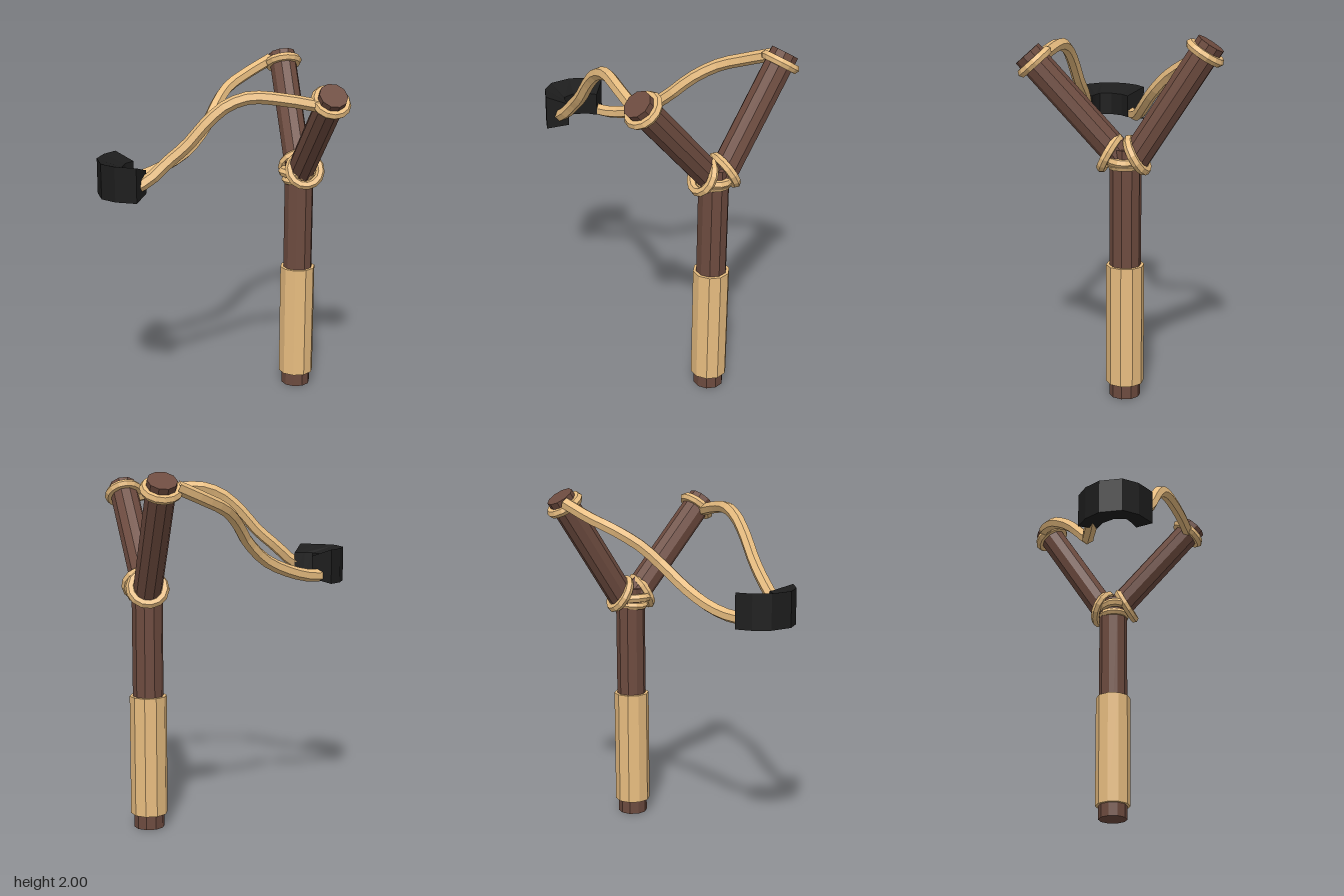
import * as THREE from 'three';

const V = (x, y, z) => new THREE.Vector3(x, y, z);
const UP = V(0, 1, 0);
const mat = (color) => new THREE.MeshStandardMaterial({ color, flatShading: true });

export function createModel() {
  const group = new THREE.Group();
  const wood = mat(0x6d4b3f), cord = mat(0xe8bd80), leather = mat(0x1d1d1d);

  const add = (name, geometry, material) => {
    const mesh = new THREE.Mesh(geometry, material);
    mesh.name = name;
    group.add(mesh);
    return mesh;
  };

  // Cylinder running from a to b
  const rod = (name, a, b, r, material, sides = 10) => {
    const dir = b.clone().sub(a);
    const mesh = add(name, new THREE.CylinderGeometry(r, r, dir.length(), sides), material);
    mesh.position.copy(a).addScaledVector(dir, 0.5);
    mesh.quaternion.setFromUnitVectors(UP, dir.normalize());
    return mesh;
  };

  // Cord loop whose hole points along axis
  const ring = (name, center, axis, R, tube = 0.026, sx = 1, sz = 1) => {
    const geometry = new THREE.TorusGeometry(R, tube, 6, 14).rotateX(Math.PI / 2).scale(sx, 1, sz);
    const mesh = add(name, geometry, cord);
    mesh.position.copy(center);
    mesh.quaternion.setFromUnitVectors(UP, axis.clone().normalize());
    return mesh;
  };

  // Handle and wrapped grip
  rod('handle', V(0.515, 0, -0.035), V(0.515, 1.4, -0.035), 0.086, wood);
  rod('grip', V(0.515, 0.08, -0.035), V(0.515, 0.755, -0.035), 0.104, cord);

  // Two prongs, each with a tie near the tip
  const prongs = [
    ['front', V(0.505, 1.36, 0), V(0.43, 1.895, 0.475)],
    ['back', V(0.535, 1.34, -0.08), V(0.622, 1.963, -0.465)],
  ];
  for (const [side, base, tip] of prongs) {
    const dir = tip.clone().sub(base).normalize();
    rod(side + 'Prong', base, tip, 0.08, wood);
    ring(side + 'TipTie', tip.clone().addScaledVector(dir, -0.058), dir, 0.088);
  }

  // Lashing where the prongs meet the handle
  ring('frontLashing', V(0.505, 1.37, 0.047), V(-0.06, 0.1, 0.18), 0.092);
  ring('backLashing', V(0.54, 1.365, -0.095), V(0.06, 0.11, -0.18), 0.094);
  ring('middleLashing', V(0.505, 1.34, -0.025), V(0.1, 1, 0), 0.1, 0.026, 1, 0.8);
  ring('lowerLashing', V(0.515, 1.305, -0.03), V(-0.08, 1, 0), 0.088, 0.022, 1, 0.85);

  // Elastic bands from the pouch to the prong tips
  const band = (name, points) => {
    const curve = new THREE.CatmullRomCurve3(points.map((p) => V(...p)));
    add(name, new THREE.TubeGeometry(curve, 18, 0.036, 6), cord);
  };
  band('frontBand', [
    [-0.59, 1.4, 0.09], [-0.5, 1.45, 0.115], [-0.4, 1.54, 0.135], [-0.3, 1.63, 0.17],
    [-0.2, 1.75, 0.205], [-0.1, 1.84, 0.24], [0.02, 1.885, 0.285], [0.2, 1.87, 0.365], [0.37, 1.835, 0.43],
  ]);
  band('backBand', [
    [-0.58, 1.39, -0.16], [-0.48, 1.385, -0.17], [-0.33, 1.415, -0.185], [-0.15, 1.49, -0.195],
    [0, 1.61, -0.24], [0.1, 1.715, -0.31], [0.22, 1.8, -0.395], [0.37, 1.86, -0.45], [0.55, 1.93, -0.48],
  ]);

  // Pouch: four-cornered sections (outer x, z, inner x, z) swept round the bend
  const sections = [
    [-0.555, -0.24, -0.49, -0.135], [-0.64, -0.2, -0.55, -0.105], [-0.71, -0.125, -0.595, -0.045],
    [-0.735, 0, -0.595, 0.025], [-0.69, 0.09, -0.555, 0.055], [-0.597, 0.168, -0.503, 0.08],
  ];
  const pos = [], idx = [];
  for (const [ox, oz, ix, iz] of sections) {
    pos.push(ox, 1.34, oz, ox, 1.538, oz, ix, 1.495, iz, ix, 1.365, iz);
  }
  const quad = (a, b, c, d) => idx.push(a, b, c, a, c, d);
  const last = (sections.length - 1) * 4;
  for (let s = 0; s < last; s += 4) {
    for (let k = 0; k < 4; k++) {
      const n = (k + 1) % 4;
      quad(s + k, s + 4 + k, s + 4 + n, s + n);
    }
  }
  quad(0, 1, 2, 3);
  quad(last + 3, last + 2, last + 1, last);
  const pouch = new THREE.BufferGeometry();
  pouch.setAttribute('position', new THREE.Float32BufferAttribute(pos, 3));
  pouch.setIndex(idx);
  pouch.computeVertexNormals();
  leather.side = THREE.DoubleSide;
  add('pouch', pouch, leather);

  return group;
}
